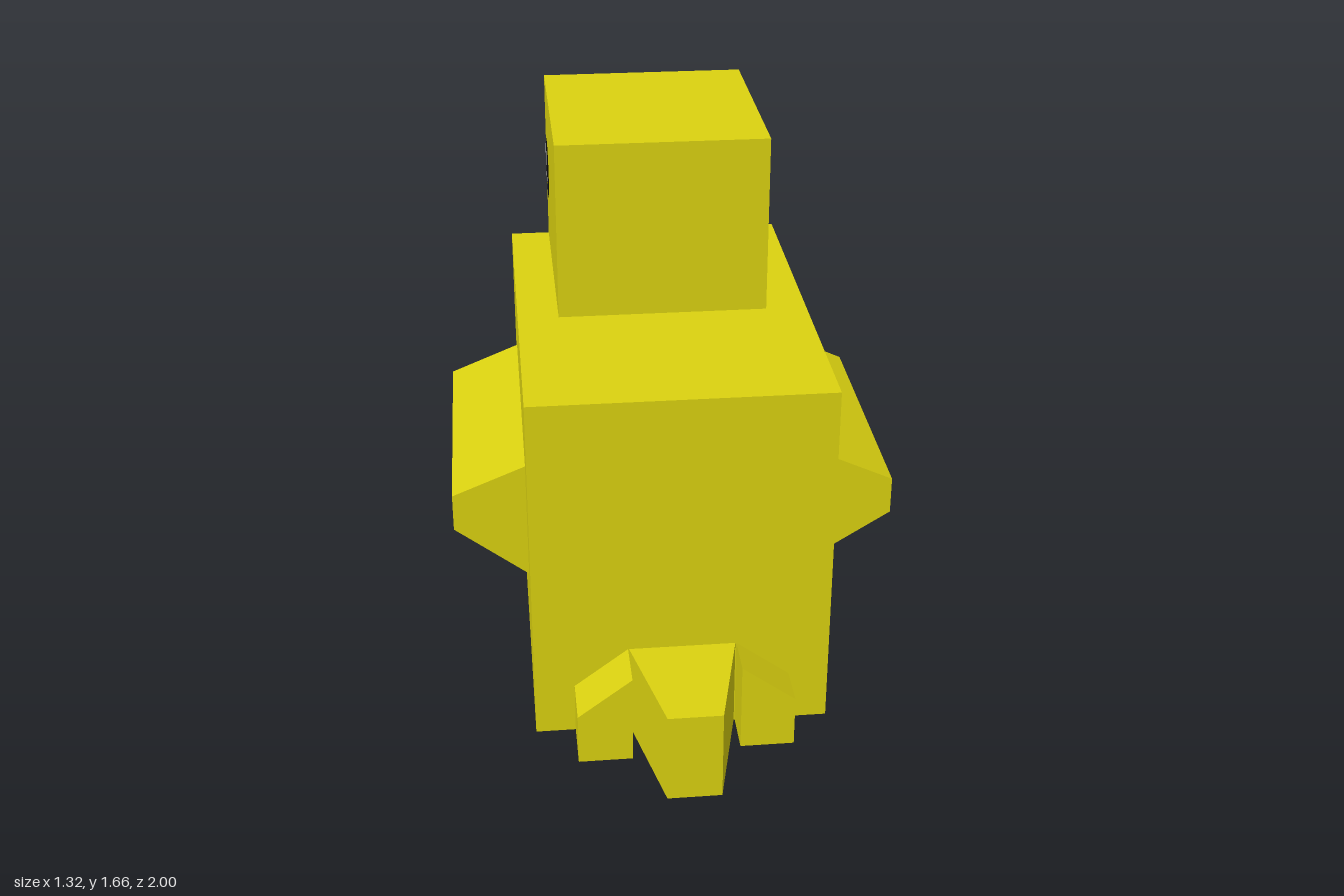
import * as THREE from 'three';

const mat = (name, color) => {
  const m = new THREE.MeshStandardMaterial({ color });
  m.name = name;
  return m;
};

// Solid between two matching counter-clockwise profiles at depths z0 < z1
function loft(back, front, z0, z1) {
  const pos = [], n = back.length;
  const A = back.map(([x, y]) => [x, y, z0]);
  const B = front.map(([x, y]) => [x, y, z1]);
  const tri = (...pts) => pts.forEach(p => pos.push(...p));
  for (let i = 0; i < n; i++) {
    const j = (i + 1) % n;
    tri(A[i], A[j], B[j]);
    tri(A[i], B[j], B[i]);
  }
  const caps = THREE.ShapeUtils.triangulateShape(back.map(p => new THREE.Vector2(...p)), []);
  for (const [a, b, c] of caps) {
    tri(B[a], B[b], B[c]);
    tri(A[c], A[b], A[a]);
  }
  const g = new THREE.BufferGeometry();
  g.setAttribute('position', new THREE.Float32BufferAttribute(pos, 3));
  g.computeVertexNormals();
  return g;
}

const rect = (w, y0, y1) => [[-w, y0], [w, y0], [w, y1], [-w, y1]];

export function createModel() {
  const yellow = mat('yellow feathers', 0xdcd310);
  const red = mat('red beak', 0xe63a10);
  const black = mat('black', 0x0c0c0e);
  const white = mat('eye highlight', 0xe4e4e4);
  const model = new THREE.Group();
  model.name = 'bird';
  const add = (name, geo, material, parent = model) => {
    const m = new THREE.Mesh(geo, material);
    m.name = name;
    parent.add(m);
    return m;
  };

  // Body and head blocks, sharing a flat face at -z
  add('body', loft(rect(0.445, 0, 1.115), rect(0.445, 0, 1.115), -0.615, 0.655), yellow);
  add('head', loft(rect(0.32, 1.115, 1.665), rect(0.32, 1.115, 1.665), -0.615, 0.075), yellow);

  // Tapered beak
  add('beak', loft(rect(0.067, 1.255, 1.39), rect(0.16, 1.255, 1.455), -1, -0.615), red);

  // Tail: tapered middle feather and a sloped feather on each side
  add('middleTailFeather', loft(rect(0.16, 0, 0.285), rect(0.08, 0, 0.285), 0.655, 1), yellow);
  const leftFeather = [[0.163, 0], [0.325, 0], [0.325, 0.162], [0.163, 0.285]];
  const rightFeather = leftFeather.map(([x, y]) => [-x, y]).reverse();
  add('leftTailFeather', loft(leftFeather, leftFeather, 0.655, 0.785), yellow);
  add('rightTailFeather', loft(rightFeather, rightFeather, 0.655, 0.81), yellow);

  for (const side of [1, -1]) {
    const label = side > 0 ? 'left' : 'right';

    // Wing: stepped profile, narrowing outwards
    const profile = (high, low, top, back) => {
      const p = [[-back, high], [-0.02, high], [0.19, low], [0.4, low], [0.4, top], [-back, top]];
      return side > 0 ? p : p.map(([u, y]) => [-u, y]).reverse();
    };
    const wing = side > 0
      ? loft(profile(0.45, 0.2, 0.8, 0.44), profile(0.585, 0.305, 0.7, 0.44), 0.445, 0.66)
      : loft(profile(0.425, 0.165, 0.8, 0.43), profile(0.595, 0.335, 0.71, 0.43), 0.445, 0.664);
    add(label + 'Wing', wing.rotateY(side * Math.PI / 2), yellow);

    // Eye: black disc with three highlights
    const eye = new THREE.Group();
    eye.name = label + 'Eye';
    model.add(eye);
    const disc = (name, material, x, y, z, rz, ry) => {
      const g = new THREE.CircleGeometry(1, 32).scale(rz, ry, 1).rotateY(side * Math.PI / 2);
      add(name, g, material, eye).position.set(side * x, y, z);
    };
    disc('pupil', black, 0.323, 1.405, -0.455, 0.096, 0.096);
    disc('largeHighlight', white, 0.326, 1.445, -0.455, 0.03, 0.045);
    disc('smallHighlight', white, 0.326, 1.373, -0.407, 0.016, 0.018);
    disc('smallHighlight', white, 0.326, 1.365, -0.49, 0.017, 0.015);

    // Nostril lying on the slanted beak side
    const nostril = add(label + 'Nostril', new THREE.CircleGeometry(1, 16).scale(0.014, 0.009, 1), black);
    nostril.position.set(side * 0.082, 1.355, -0.952);
    nostril.rotation.y = side * (Math.PI / 2 + 0.237);
  }
  return model;
}
